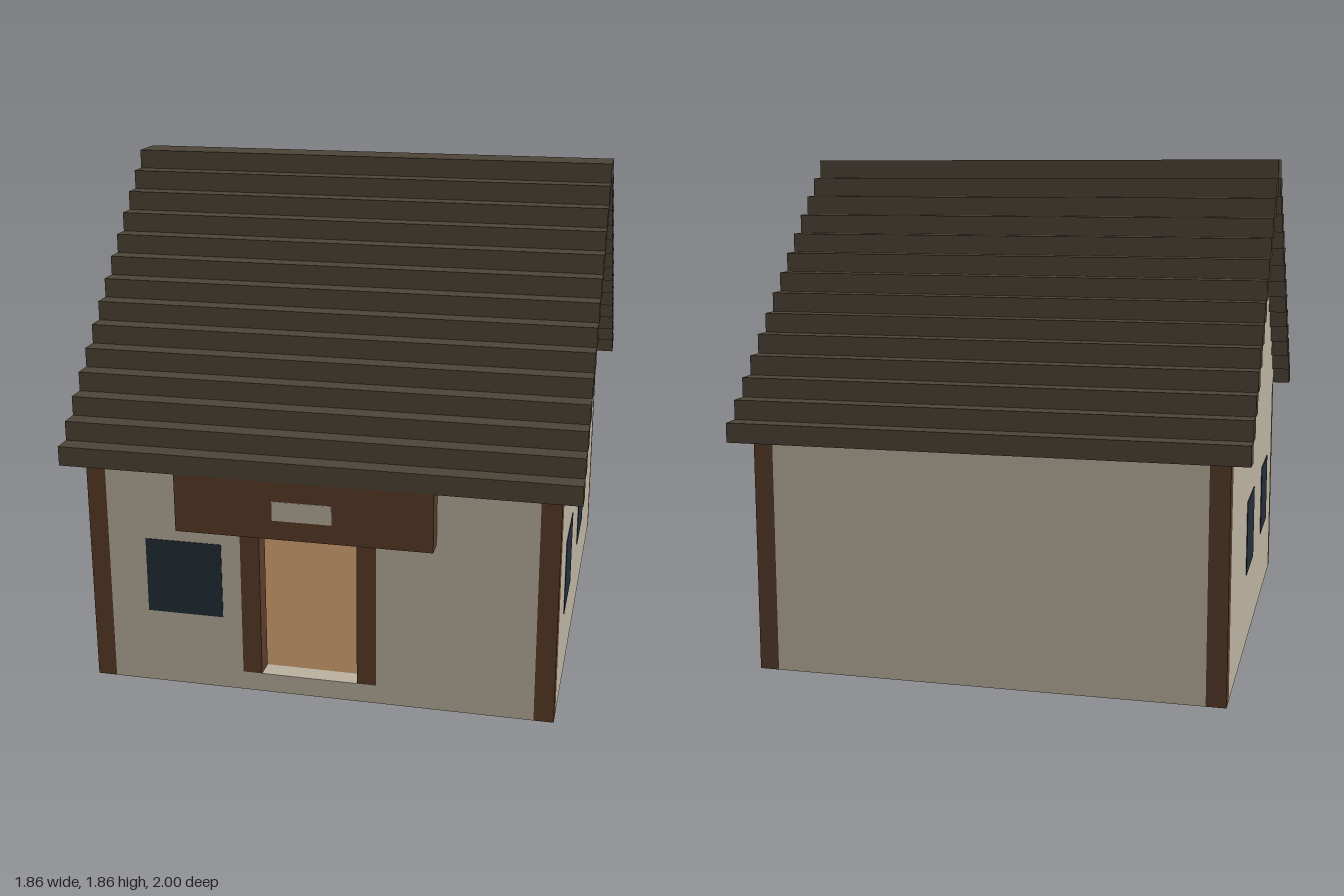
import * as THREE from 'three';

// All sizes below are in blocks; 28 blocks make the 2-unit depth.
const U = 2 / 28;

const material = (name, color) => {
  const m = new THREE.MeshStandardMaterial({ color });
  m.name = name;
  return m;
};

export function createModel() {
  const house = new THREE.Group();
  house.name = 'house';
  const plaster = material('plaster', 0xbab19f);
  const timber = material('timber', 0x5a3c29);
  const shingle = material('shingle', 0x4d4437);
  const glass = material('glass', 0x232e37);
  const planks = material('floorPlanks', 0x94714d);

  const add = (name, geometry, mat) => {
    geometry.scale(U, U, U);
    const mesh = new THREE.Mesh(geometry, mat);
    mesh.name = name;
    house.add(mesh);
  };
  // Box between two corners
  const box = (name, mat, x0, x1, y0, y1, z0, z1) => {
    const g = new THREE.BoxGeometry(x1 - x0, y1 - y0, z1 - z0);
    g.translate((x0 + x1) / 2, (y0 + y1) / 2, (z0 + z1) / 2);
    add(name, g, mat);
  };
  const slab = (shape) => new THREE.ExtrudeGeometry(shape, { depth: 1, bevelEnabled: false });

  // Floor and back wall
  box('floor', planks, -11, 11, 0, 1, -12, 12);
  box('backWall', plaster, -11, 11, 0, 12, -13, -12);

  // Front wall with an open doorway
  const front = new THREE.Shape([[-11, 0], [11, 0], [11, 12], [-11, 12]].map((p) => new THREE.Vector2(...p)));
  front.holes.push(new THREE.Path([[-4, 1], [-4, 9], [3, 9], [3, 1]].map((p) => new THREE.Vector2(...p))));
  add('frontWall', slab(front).translate(0, 0, 12), plaster);

  // Side walls with stepped gables
  const half = [[12, 0], [12, 12]];
  for (let k = 0; k < 13; k++) half.push([13 - k, 12 + k], [13 - k, 13 + k]);
  const outline = [...half, ...half.map(([z, y]) => [-z, y]).reverse()];
  const gable = new THREE.Shape(outline.map((p) => new THREE.Vector2(...p)));
  for (const x of [-12, 11]) {
    add(x < 0 ? 'rightGableWall' : 'leftGableWall', slab(gable).rotateY(Math.PI / 2).translate(x, 0, 0), plaster);
  }

  // Corner posts
  for (const x of [-12, 11]) {
    for (const z of [-13, 12]) box('cornerPost', timber, x, x + 1, 0, 12, z, z + 1);
  }

  // Stepped roof, one course per block of height
  for (let i = 0; i < 13; i++) {
    box('roofCourseFront', shingle, -13, 13, 12 + i, 13 + i, 13 - i, 14 - i);
    box('roofCourseBack', shingle, -13, 13, 12 + i, 13 + i, i - 14, i - 13);
  }
  box('roofRidge', shingle, -13, 13, 25, 26, -1, 1);

  // Door frame and the board above it, with its pale inlay
  box('doorPost', timber, -4, -3, 1, 9, 12, 13);
  box('doorPost', timber, 2, 3, 1, 9, 12, 13);
  box('doorBoard', timber, -7, 6, 9, 12, 13, 14);
  box('boardInlay', plaster, -2, 1, 10, 11, 13.96, 14.03);

  // Windows: one in front, two on each side
  box('frontWindow', glass, -9, -5, 4, 8, 12.95, 13.04);
  for (const side of [-1, 1]) {
    const x = side * 12;
    for (const z of [-4, 5]) box('sideWindow', glass, x - 0.04, x + 0.04, 4, 8, z, z + 4);
  }

  // Shelves against the inside of the back wall
  for (const y of [1, 4, 7]) box('shelf', timber, -7, -2, y, y + 1, -12, -11);

  return house;
}
